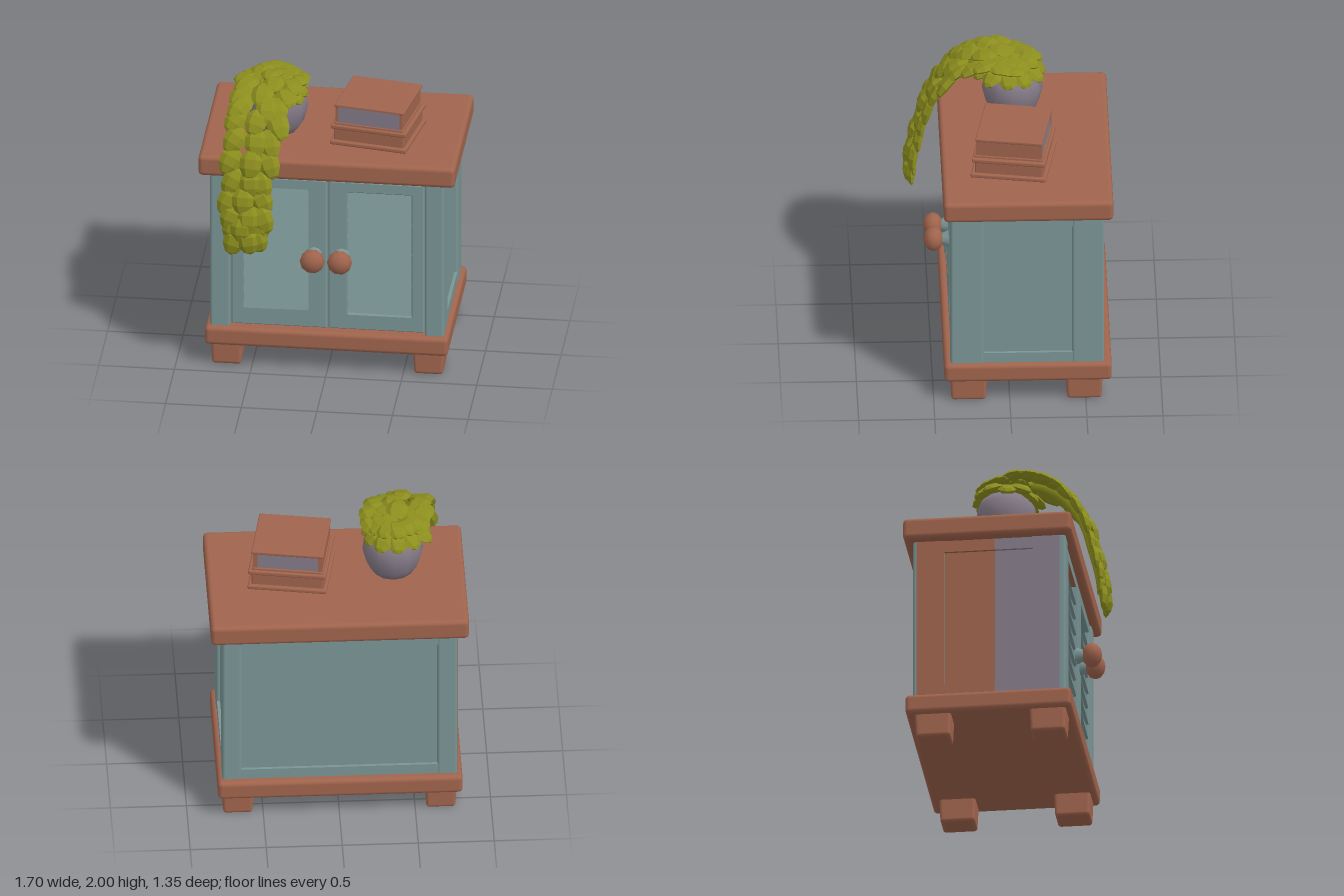
import * as THREE from 'three';
import { RoundedBoxGeometry } from 'three/addons/geometries/RoundedBoxGeometry.js';

const paint = (name, color) => {
  const m = new THREE.MeshStandardMaterial({ color });
  m.name = name;
  return m;
};

export function createModel() {
  const model = new THREE.Group();
  model.name = 'cabinet';
  const wood = paint('brown wood', 0xa0644d);
  const teal = paint('teal paint', 0x7a9494);
  const grey = paint('mauve grey', 0x857b88);
  const green = paint('olive leaf', 0x8c8e1e);

  const add = (name, geo, mat, parent = model) => {
    const m = new THREE.Mesh(geo, mat);
    m.name = name;
    parent.add(m);
    return m;
  };
  // Box given by its limits, with optional softened edges
  const block = (name, mat, [x0, x1], [y0, y1], [z0, z1], r = 0, parent = model) => {
    const s = [x1 - x0, y1 - y0, z1 - z0];
    const geo = r ? new RoundedBoxGeometry(...s, 2, r) : new THREE.BoxGeometry(...s);
    const m = add(name, geo, mat, parent);
    m.position.set((x0 + x1) / 2, (y0 + y1) / 2, (z0 + z1) / 2);
    return m;
  };
  const facet = (geo) => {
    const g = geo.index ? geo.toNonIndexed() : geo;
    g.computeVertexNormals();
    return g;
  };

  // Slabs and feet
  block('tableTop', wood, [-0.852, 0.846], [1.4, 1.545], [-0.68, 0.435], 0.03);
  block('basePlinth', wood, [-0.81, 0.8], [0.155, 0.288], [-0.67, 0.43], 0.03);
  for (const s of [-1, 1]) {
    for (const z of [0.27, -0.49]) {
      const geo = new RoundedBoxGeometry(0.205, 0.18, 0.24, 2, 0.022);
      const p = geo.attributes.position;
      for (let i = 0; i < p.count; i++) {
        if (p.getY(i) < 0) p.setXYZ(i, p.getX(i) * 0.94, p.getY(i), p.getZ(i) * 0.95);
      }
      add('foot', geo, wood).position.set(s * 0.668 - 0.002, 0.09, z);
    }
  }

  // Carcass with corner posts, rails and recessed panels
  block('carcass', teal, [-0.75, 0.745], [0.27, 1.41], [-0.595, 0.325]);
  for (const [x0, x1] of [[-0.778, -0.645], [0.642, 0.77]]) {
    block('frontPost', teal, [x0, x1], [0.27, 1.41], [0.17, 0.39], 0.018);
    block('backPost', teal, [x0, x1], [0.27, 1.41], [-0.62, -0.41], 0.018);
  }
  for (const [y0, y1] of [[0.27, 0.36], [1.32, 1.41]]) {
    block('leftRail', teal, [0.7, 0.766], [y0, y1], [-0.43, 0.19]);
    block('backRail', teal, [-0.66, 0.66], [y0, y1], [-0.616, -0.55]);
    // Right rail changes paint part way along
    block('rightRailBack', wood, [-0.774, -0.7], [y0, y1], [-0.43, -0.08]);
    block('rightRailFront', grey, [-0.774, -0.7], [y0, y1], [-0.08, 0.19]);
  }
  block('rightPanelBack', wood, [-0.756, -0.748], [0.35, 1.33], [-0.42, -0.08]);
  block('rightPanelFront', grey, [-0.756, -0.748], [0.35, 1.33], [-0.08, 0.18]);
  block('rightPostPaintBack', wood, [-0.781, -0.775], [0.29, 1.4], [-0.595, -0.412]);
  block('rightPostPaintFront', grey, [-0.781, -0.775], [0.29, 1.4], [0.172, 0.35]);

  // Louvred doors
  for (const s of [-1, 1]) {
    const door = new THREE.Group();
    door.name = s > 0 ? 'leftDoor' : 'rightDoor';
    model.add(door);
    const rect = (path, x0, x1, y0, y1) => path.setFromPoints([
      [x0, y0], [x1, y0], [x1, y1], [x0, y1]].map(([x, y]) => new THREE.Vector2(s * x, y)));
    const frame = rect(new THREE.Shape(), 0.013, 0.63, 0.31, 1.38);
    frame.holes.push(rect(new THREE.Path(), 0.125, 0.56, 0.41, 1.315));
    const geo = new THREE.ExtrudeGeometry(frame, {
      depth: 0.05, bevelEnabled: true, bevelThickness: 0.008, bevelSize: 0.007, bevelSegments: 1 });
    add('doorFrame', geo, teal, door).position.z = 0.325;
    for (let i = 0; i < 8; i++) {
      const slat = add('slat', new THREE.BoxGeometry(0.43, 0.118, 0.018), teal, door);
      slat.position.set(s * 0.342, 0.475 + i * 0.111, 0.35);
      slat.rotation.set(-0.4, 0, s * (i % 2 ? 0.022 : -0.012));
    }
    // Knob on its collar
    const collar = add('knobCollar', new THREE.CylinderGeometry(0.035, 0.06, 0.06, 10), teal, door);
    collar.rotation.x = Math.PI / 2;
    collar.position.set(s * 0.09, 0.84, 0.405);
    const knob = add('knob', new THREE.IcosahedronGeometry(0.083, 1), wood, door);
    knob.scale.z = 0.82;
    knob.position.set(s * 0.09, 0.84, 0.482);
  }

  // Stack of two books
  const books = new THREE.Group();
  books.name = 'books';
  books.position.set(0.285, 1.545, -0.04);
  books.rotation.y = -0.17;
  model.add(books);
  block('lowerBook', wood, [-0.24, 0.24], [0, 0.14], [-0.225, 0.225], 0.012, books);
  block('lowerBackCover', wood, [-0.26, 0.262], [0, 0.03], [-0.25, 0.25], 0.01, books);
  block('lowerFrontCover', wood, [-0.255, 0.26], [0.112, 0.143], [-0.243, 0.243], 0.01, books);
  block('upperPages', grey, [-0.21, 0.21], [0.15, 0.27], [-0.215, 0.222], 0, books);
  block('upperBackCover', wood, [-0.235, 0.235], [0.135, 0.158], [-0.225, 0.228], 0.008, books);
  block('upperFrontCover', wood, [-0.235, 0.24], [0.262, 0.286], [-0.222, 0.222], 0.008, books);
  block('upperSpine', wood, [0.2, 0.228], [0.15, 0.27], [-0.218, 0.218], 0, books);
  block('upperEdge', wood, [-0.228, -0.2], [0.15, 0.27], [-0.218, 0.218], 0, books);

  // Round pot
  const profile = [[0, 0], [0.13, 0], [0.175, 0.07], [0.2, 0.17], [0.19, 0.25], [0.155, 0.31], [0, 0.31]];
  const pot = add('pot', new THREE.LatheGeometry(profile.map((p) => new THREE.Vector2(...p)), 12), grey);
  pot.position.set(-0.38, 1.543, -0.05);

  // Leaf: a flattened faceted pad running along +z, pointed and drooping
  const leafGeo = new THREE.SphereGeometry(0.5, 6, 5).rotateX(Math.PI / 2).translate(0, 0, 0.5);
  const lp = leafGeo.attributes.position;
  for (let i = 0; i < lp.count; i++) {
    const z = lp.getZ(i);
    lp.setXYZ(i, lp.getX(i) * (1.1 - 0.2 * z), lp.getY(i) - 0.9 * z * z + 0.5 * z, z);
  }
  const leafFaces = facet(leafGeo);
  const plant = new THREE.Group();
  plant.name = 'plant';
  model.add(plant);
  const leaf = (pos, dir, up, w, t, l) => {
    const d = dir.clone().normalize();
    const side = new THREE.Vector3().crossVectors(up, d).normalize();
    const n = new THREE.Vector3().crossVectors(d, side);
    const m = add('leaf', leafFaces, green, plant);
    m.quaternion.setFromRotationMatrix(new THREE.Matrix4().makeBasis(side, n, d));
    m.position.copy(pos);
    m.scale.set(w, t, l);
  };
  let seed = 7;
  const jitter = (a) => {
    seed = (seed * 16807) % 2147483647;
    return (seed / 2147483647 - 0.5) * 2 * a;
  };

  // Trailing stem over the front edge
  const path = new THREE.CatmullRomCurve3([
    [-0.39, 1.9, -0.1], [-0.42, 1.935, 0.06], [-0.44, 1.895, 0.22], [-0.47, 1.79, 0.36],
    [-0.5, 1.6, 0.48], [-0.52, 1.38, 0.545], [-0.52, 1.2, 0.59], [-0.52, 1.07, 0.605],
  ].map((p) => new THREE.Vector3(...p)));
  add('stem', new THREE.TubeGeometry(path, 24, 0.035, 6), green, plant);
  const X = new THREE.Vector3(1, 0, 0);
  const rows = 13;
  for (let i = 0; i < rows; i++) {
    const t = i / (rows - 1);
    const T = path.getTangent(t);
    const n = new THREE.Vector3().crossVectors(T, X).normalize();
    const spread = 0.125 - 0.065 * t;
    for (const s of i % 2 ? [-1, 0, 1] : [-0.85, 0.25, 0.85]) {
      const pos = path.getPoint(t).addScaledVector(X, s * spread + jitter(0.015))
        .addScaledVector(n, 0.025 - 0.03 * Math.abs(s)).addScaledVector(T, -0.06);
      const dir = T.clone().addScaledVector(X, s * (0.62 - 0.3 * t) + jitter(0.12)).addScaledVector(n, 0.12);
      leaf(pos, dir, n, 0.15, 0.065, 0.2 + jitter(0.02));
    }
  }
  // Crown of leaves over the pot rim
  const up = new THREE.Vector3(0, 1, 0);
  for (let i = 0; i < 11; i++) {
    const a = (i / 11) * Math.PI * 2 + Math.PI / 2;
    const out = new THREE.Vector3(Math.cos(a), 0, -Math.sin(a));
    for (const [r, y, drop, len] of [[0.07, 1.885, -0.28, 0.19], [0.02, 1.925, 0.05, 0.18]]) {
      const pos = new THREE.Vector3(-0.405, y, -0.045).addScaledVector(out, r);
      leaf(pos, out.clone().setY(drop + jitter(0.1)), up, 0.15, 0.07, len + jitter(0.02));
    }
  }
  return model;
}
